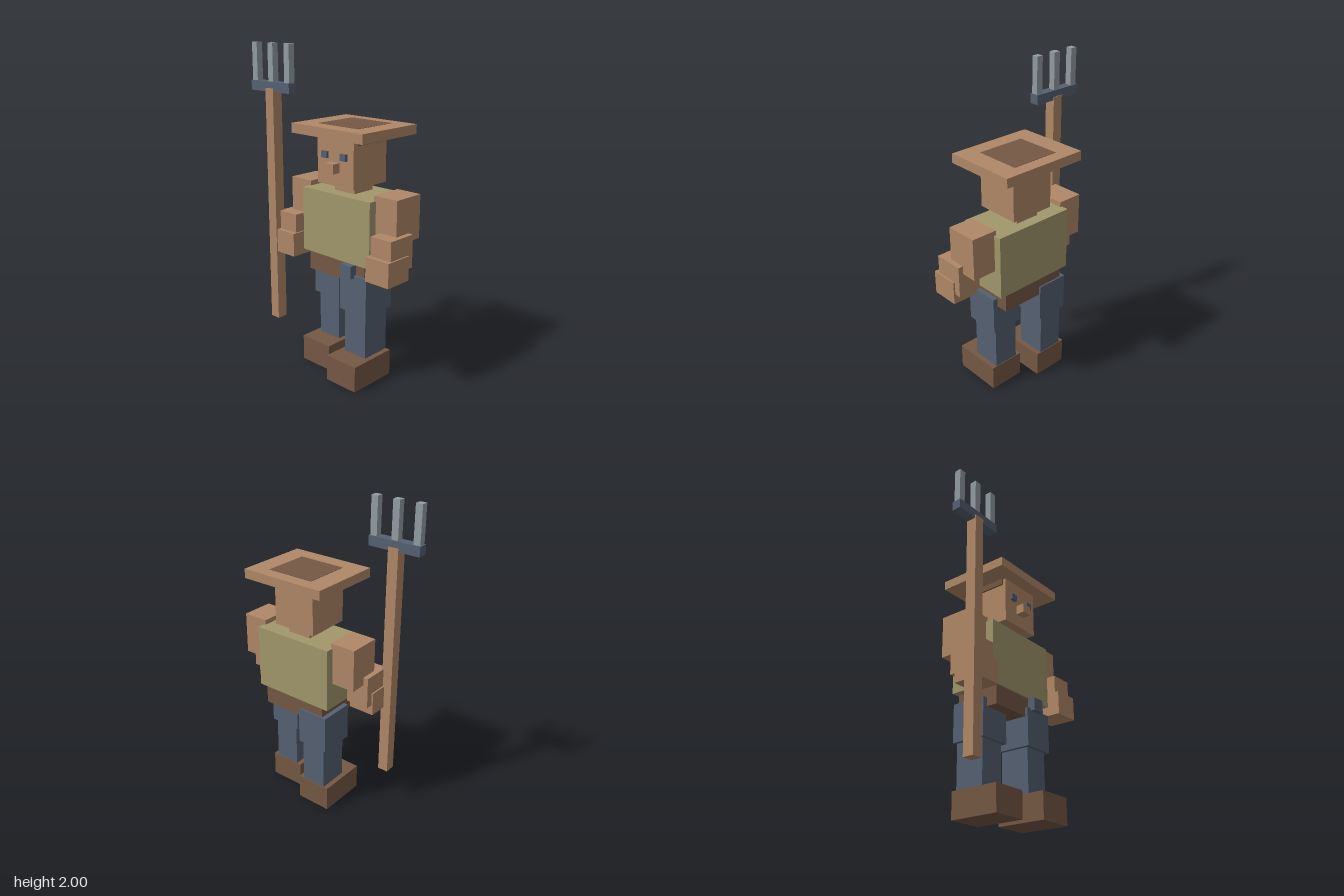
import * as THREE from 'three';

const paint = (name, color) => {
  const m = new THREE.MeshStandardMaterial({ color });
  m.name = name;
  return m;
};

export function createModel() {
  const tan = paint('tan', 0xb08867);
  const olive = paint('olive', 0xa1986b);
  const slate = paint('slate blue', 0x556172);
  const brown = paint('dark brown', 0x755844);
  const steel = paint('pale steel', 0x929da2);

  const model = new THREE.Group();
  model.name = 'blockFarmer';
  const group = (name) => {
    const g = new THREE.Group();
    g.name = name;
    model.add(g);
    return g;
  };

  // Box given by its extents along x, y and z
  const box = (parent, name, material, [x0, x1], [y0, y1], [z0, z1]) => {
    const mesh = new THREE.Mesh(new THREE.BoxGeometry(x1 - x0, y1 - y0, z1 - z0), material);
    mesh.position.set((x0 + x1) / 2, (y0 + y1) / 2, (z0 + z1) / 2);
    mesh.name = name;
    parent.add(mesh);
  };

  const mid = 0.09; // the body stands left of the origin, the fork to its right
  const wide = (w) => [mid - w / 2, mid + w / 2];

  // Body
  const body = group('body');
  box(body, 'torso', olive, wide(0.54), [0.75, 1.15], [-0.17, 0.14]);
  box(body, 'hips', brown, wide(0.45), [0.63, 0.75], [-0.16, 0.13]);
  box(body, 'beltPouch', slate, [0.167, 0.249], [0.67, 0.749], [0.1, 0.178]);
  box(body, 'neck', tan, wide(0.16), [1.15, 1.2], [-0.1, 0.06]);

  // Head and face
  const head = group('head');
  box(head, 'skull', tan, wide(0.288), [1.2, 1.5], [-0.146, 0.138]);
  box(head, 'nose', tan, wide(0.066), [1.283, 1.341], [0.13, 0.192]);
  for (const [side, x] of [['right', 0.015], ['left', 0.163]]) {
    box(head, side + 'Eye', slate, [x - 0.022, x + 0.022], [1.36, 1.4], [0.12, 0.156]);
  }

  // Hat: the crown is almost level with the brim
  const hat = group('hat');
  box(hat, 'hatBrim', tan, [-0.19, 0.372], [1.491, 1.549], [-0.252, 0.219]);
  box(hat, 'hatCrown', brown, [-0.064, 0.247], [1.453, 1.551], [-0.172, 0.118]);

  // Arms, mirrored about the middle of the body
  for (const [side, s] of [['right', -1], ['left', 1]]) {
    const arm = group(side + 'Arm');
    const span = (a, b) => [mid + s * a, mid + s * b].sort((p, q) => p - q);
    box(arm, 'upperArm', tan, span(0.257, 0.424), [0.917, 1.18], [-0.12, 0.088]);
    box(arm, 'forearm', tan, span(0.307, 0.456), [0.77, 0.969], [-0.02, 0.172]);
    box(arm, 'hand', tan, span(0.297, 0.466), [0.705, 0.853], [0.024, 0.203]);
  }

  // Legs: the left one is a step ahead
  for (const [side, x, z] of [['right', -0.062, -0.09], ['left', 0.24, 0]]) {
    const leg = group(side + 'Leg');
    const span = (w) => [x - w / 2, x + w / 2];
    box(leg, 'thigh', slate, span(0.209), [0.447, 0.685], [z - 0.08, z + 0.148]);
    box(leg, 'shin', slate, span(0.165), [0.162, 0.447], [z - 0.066, z + 0.125]);
    box(leg, 'shoe', brown, span(0.229), [0, 0.163], [z - 0.07, z + 0.25]);
  }

  // Fork
  const fork = group('fork');
  box(fork, 'pole', tan, [-0.426, -0.358], [0.243, 1.733], [0.141, 0.21]);
  box(fork, 'crossbar', slate, [-0.561, -0.223], [1.712, 1.772], [0.144, 0.204]);
  for (let i = -1; i <= 1; i++) {
    const x = -0.392 + i * 0.142;
    box(fork, 'prong', steel, [x - 0.022, x + 0.022], [1.772, 2], [0.153, 0.195]);
  }

  return model;
}
